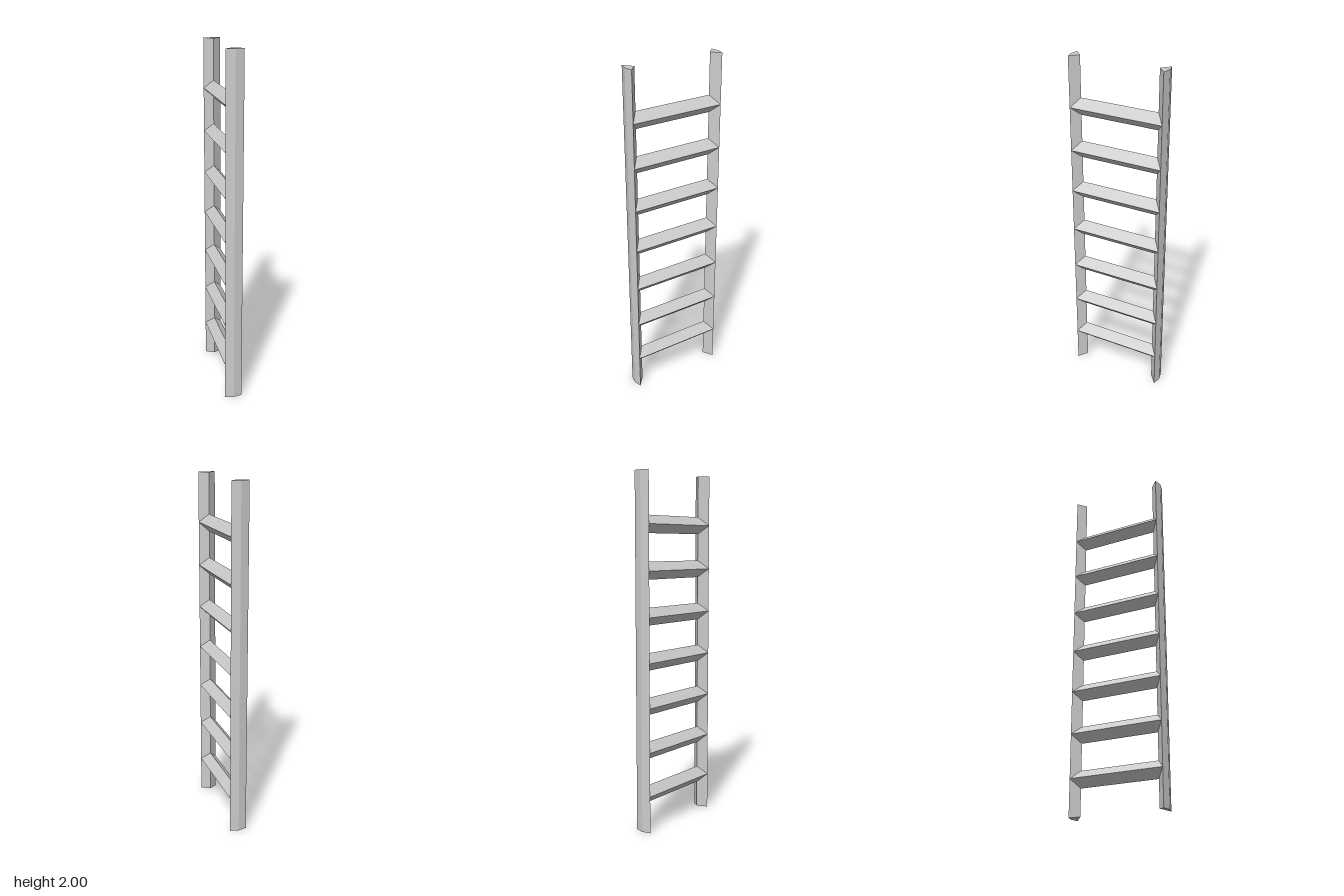
import * as THREE from 'three';

const material = new THREE.MeshStandardMaterial({ color: 0xcccccc, flatShading: true });

// Straight prism along +z from corner points
function prism(points, depth) {
  const shape = new THREE.Shape(points.map(([x, y]) => new THREE.Vector2(x, y)));
  return new THREE.ExtrudeGeometry(shape, { depth, bevelEnabled: false });
}

// Upright rail with a kite section: shallow outer ridge, deep inner ridge
function railGeometry() {
  const geometry = prism([[0, -0.286], [0.049, -0.274], [0, -0.23], [-0.049, -0.274]], 2);
  geometry.rotateX(-Math.PI / 2);
  // The foot rises slightly towards the inner ridge
  const p = geometry.attributes.position;
  for (let i = 0; i < p.count; i++) {
    if (p.getY(i) < 1 && p.getZ(i) < 0.25) p.setY(i, 0.01);
  }
  geometry.computeVertexNormals();
  return geometry;
}

// Diamond rung with ends mitred against the rails' inner faces
function rungGeometry() {
  const geometry = prism([[0, -0.049], [0.049, 0], [0, 0.049], [-0.049, 0]], 2);
  const p = geometry.attributes.position;
  for (let i = 0; i < p.count; i++) {
    const end = Math.abs(p.getX(i)) > 0.01 ? 0.274 : 0.23;
    p.setZ(i, p.getZ(i) > 1 ? end : -end);
  }
  geometry.computeVertexNormals();
  return geometry;
}

export function createModel() {
  const ladder = new THREE.Group();
  ladder.name = 'ladder';

  // Rails
  const rail = railGeometry();
  ['frontRail', 'backRail'].forEach((name, i) => {
    const mesh = new THREE.Mesh(rail, material);
    mesh.name = name;
    mesh.rotation.y = i * Math.PI;
    ladder.add(mesh);
  });

  // Rungs
  const rung = rungGeometry();
  for (let i = 0; i < 7; i++) {
    const mesh = new THREE.Mesh(rung, material);
    mesh.name = `rung${i + 1}`;
    mesh.position.y = 0.211 + i * 0.251;
    ladder.add(mesh);
  }
  return ladder;
}
